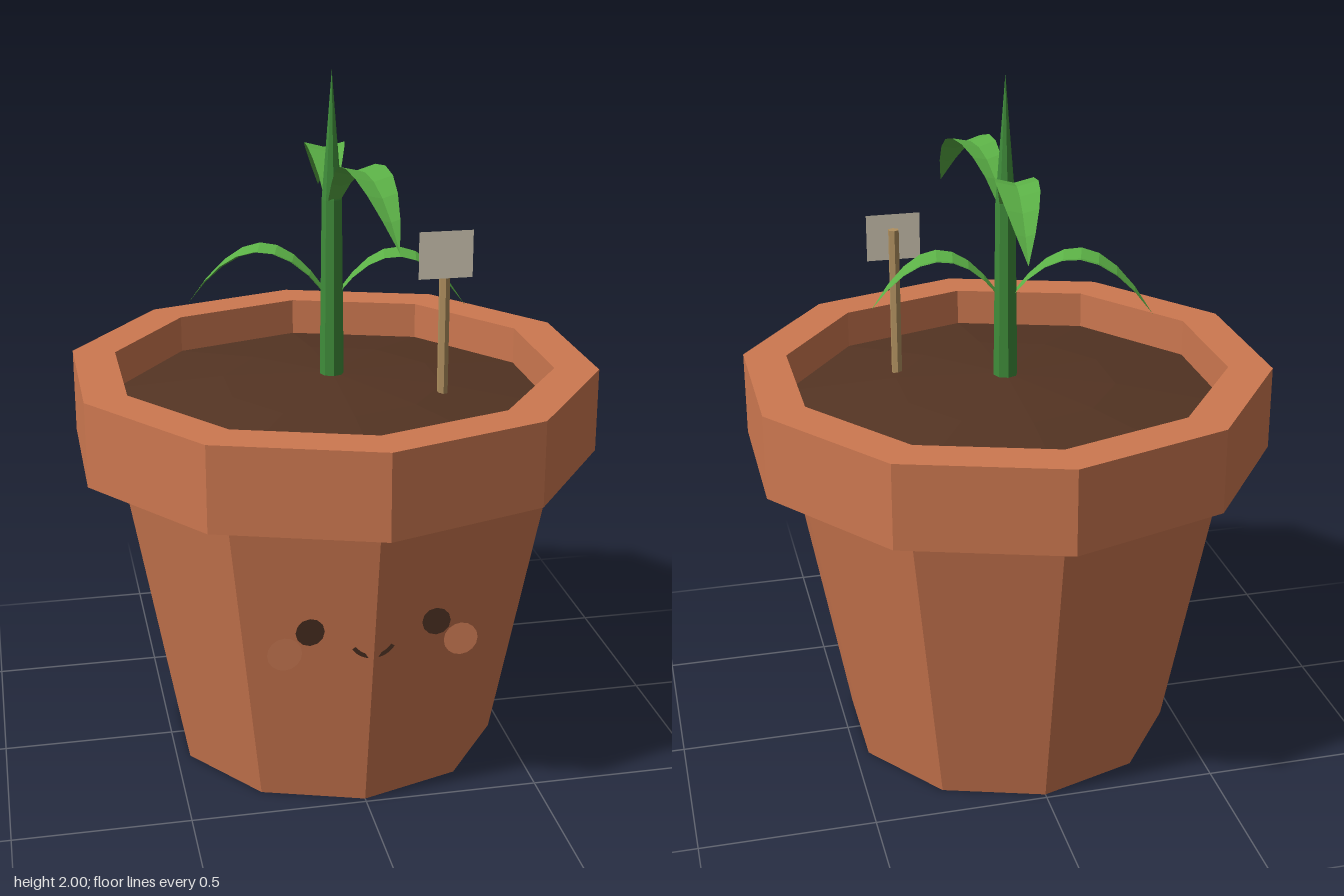
import * as THREE from 'three';

const mat = (name, color, side = THREE.FrontSide) => {
  const m = new THREE.MeshStandardMaterial({ color, flatShading: true, side });
  m.name = name;
  return m;
};

export function createModel() {
  const group = new THREE.Group();
  const terracotta = mat('terracotta', 0xcd7850);
  const blush = mat('blush', 0xd47f57, THREE.DoubleSide);
  const soilBrown = mat('soil brown', 0x543423);
  const faceBrown = mat('face brown', 0x4a2f22, THREE.DoubleSide);
  const stemGreen = mat('stem green', 0x3f8c3a);
  const leafGreen = mat('leaf green', 0x5bb046, THREE.DoubleSide);
  const wood = mat('wood', 0xb0905f);
  const tagCream = mat('tag cream', 0xd2cab6, THREE.DoubleSide);

  const add = (name, geometry, material, x = 0, y = 0, z = 0) => {
    const mesh = new THREE.Mesh(geometry, material);
    mesh.name = name;
    mesh.position.set(x, y, z);
    group.add(mesh);
    return mesh;
  };
  const lathe = (points, sides) =>
    new THREE.LatheGeometry(points.map(([r, y]) => new THREE.Vector2(r, y)), sides);

  // Ten-sided pot with a heavy rim
  add('pot', lathe([[0, 0], [0.485, 0], [0.66, 0.92]], 10), terracotta);
  add('rim', lathe([[0.64, 0.92], [0.767, 0.92], [0.767, 1.165], [0.64, 1.165], [0.64, 1.0]], 10), terracotta);

  // Slightly mounded soil
  add('soil', lathe([[0.64, 1.055], [0.32, 1.105], [0, 1.13]], 10), soilBrown);

  // Face: flat plates just in front of the side facets
  for (const s of [-1, 1]) {
    add('eye', new THREE.CircleGeometry(0.04, 12), faceBrown, s * 0.175, 0.59, 0.576);
    add('cheek', new THREE.CircleGeometry(0.048, 16), blush, s * 0.245, 0.53, 0.574);
  }
  add('mouth', new THREE.RingGeometry(0.058, 0.07, 12, 1, Math.PI * 1.18, Math.PI * 0.64),
    faceBrown, 0, 0.565, 0.575);

  // Stem tapering to a pointed shoot
  add('stem', lathe([[0.036, 1.08], [0.029, 1.64], [0, 2]], 8), stemGreen);

  // Arched leaf, V-folded along its midrib, running from the stem to a pointed tip
  const halfWidths = [0.018, 0.03, 0.043, 0.053, 0.058, 0.055, 0.044, 0.026, 0];
  const leafGeometry = (length, base, control, tip) => {
    const curve = new THREE.QuadraticBezierCurve(
      new THREE.Vector2(0.015, base),
      new THREE.Vector2(length / 2, control),
      new THREE.Vector2(length, tip));
    const steps = halfWidths.length - 1;
    const positions = [], index = [];
    halfWidths.forEach((w, i) => {
      const p = curve.getPoint(i / steps);
      for (const s of [-1, 0, 1]) positions.push(s * w, p.y + Math.abs(s) * w * 0.25, p.x);
      if (i === steps) return;
      for (let k = 0; k < 2; k++) {
        const a = i * 3 + k;
        index.push(a, a + 3, a + 1, a + 1, a + 3, a + 4);
      }
    });
    const g = new THREE.BufferGeometry();
    g.setAttribute('position', new THREE.Float32BufferAttribute(positions, 3));
    g.setIndex(index);
    g.computeVertexNormals();
    return g;
  };
  // Tip x, tip z, base height, arch control height, tip height
  const leaves = [
    [0.09, 0.45, 1.63, 1.91, 1.59],
    [0.042, -0.42, 1.63, 1.88, 1.59],
    [0.375, 0.07, 1.36, 1.6, 1.33],
    [-0.4, -0.125, 1.36, 1.62, 1.32],
  ];
  for (const [x, z, base, control, tip] of leaves) {
    const leaf = add('leaf', leafGeometry(Math.hypot(x, z), base, control, tip), leafGreen);
    leaf.rotation.y = Math.atan2(x, z);
  }

  // Plant marker
  add('markerStake', new THREE.CylinderGeometry(0.016, 0.016, 0.46, 6), wood, 0.29, 1.305, 0.157);
  add('markerTag', new THREE.PlaneGeometry(0.155, 0.135), tagCream, 0.288, 1.508, 0.175);

  return group;
}
